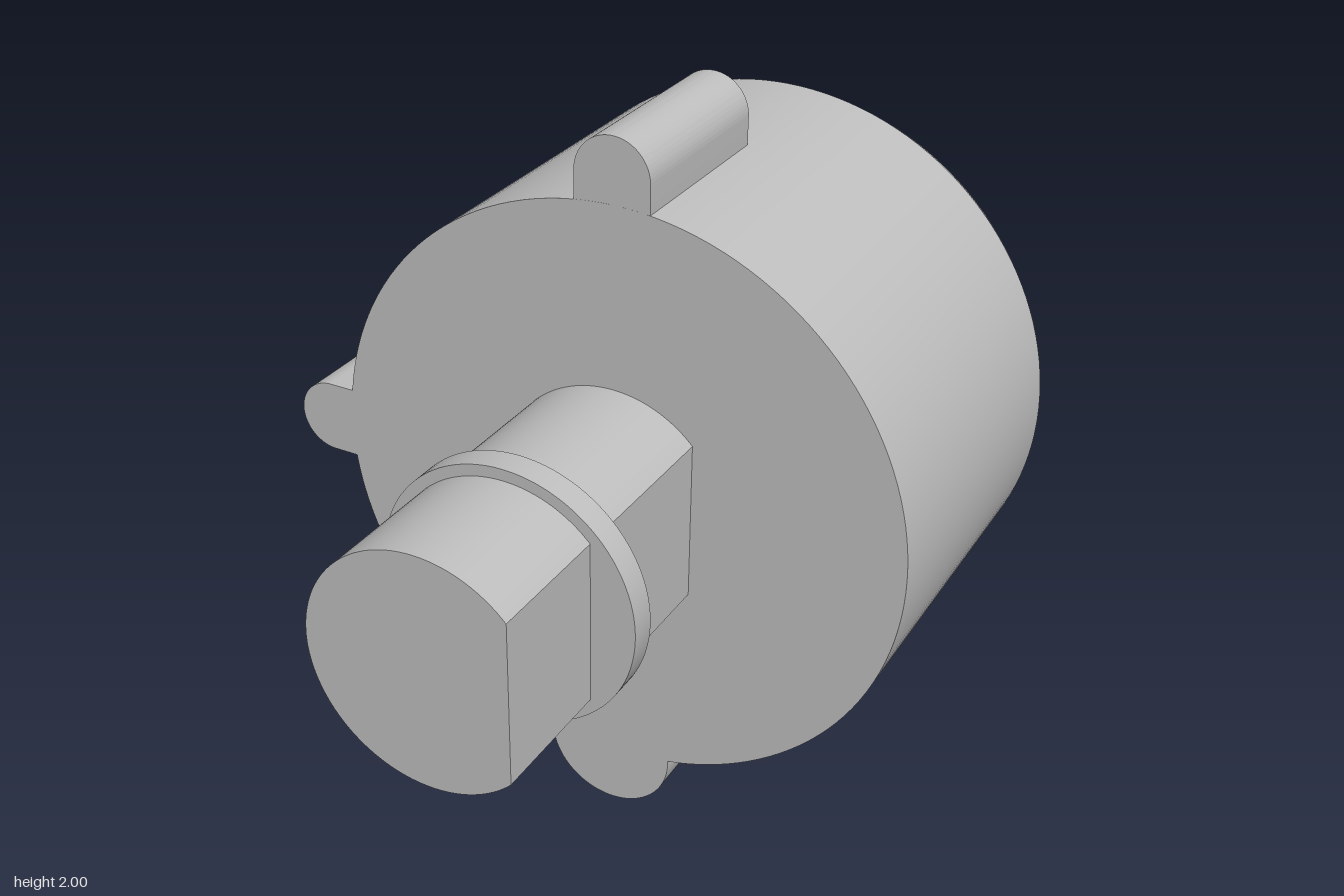
import * as THREE from 'three';
import { toCreasedNormals } from 'three/addons/utils/BufferGeometryUtils.js';

const CX = 0.085, CY = 1;       // main axis
const R = 0.825;                // housing radius
const SIDE_R = 0.103, FOOT_R = 0.185, TOP_R = 0.105;
const FRONT = 0.09;             // z of the housing's front face

// Housing outline with side and bottom lobes, shrunk inward by d
function housingShape(d) {
  const r = R - d, side = SIDE_R - d, foot = FOOT_R - d;
  const a = Math.asin(side / r), b = Math.asin(foot / r);
  const s = new THREE.Shape();
  s.absarc(0, 0, r, -Math.PI / 2 + b, Math.PI - a, false);
  s.absarc(-0.892, 0, side, Math.PI / 2, Math.PI * 1.5, false);
  s.absarc(0, 0, r, Math.PI + a, Math.PI * 1.5 - b, false);
  s.absarc(0, -0.815, foot, Math.PI, Math.PI * 2, false);
  s.closePath();
  return s;
}

// Round-topped rib whose underside follows the housing
function ribShape() {
  const a = Math.asin(TOP_R / R);
  const s = new THREE.Shape();
  s.absarc(0, 0.895, TOP_R, 0, Math.PI, false);
  s.absarc(0, 0, R, Math.PI / 2 + a, Math.PI / 2 - a, true);
  s.closePath();
  return s;
}

// Round shaft section with one flat on the left
function shaftShape() {
  const r = 0.324, a = Math.acos(0.234 / r);
  const s = new THREE.Shape();
  s.absarc(0, 0, r, a, Math.PI * 2 - a, false);
  s.closePath();
  return s;
}

function collarShape() {
  return new THREE.Shape().absarc(0, 0, 0.355, 0, Math.PI * 2, false);
}

export function createModel() {
  const group = new THREE.Group();
  const grey = new THREE.MeshStandardMaterial({ color: 0xbfbfbf });
  grey.name = 'plain grey';

  const add = (name, shape, z0, z1) => {
    const geo = new THREE.ExtrudeGeometry(shape, {
      depth: z1 - z0, bevelEnabled: false, curveSegments: 48,
    });
    const mesh = new THREE.Mesh(toCreasedNormals(geo, 0.4), grey);
    mesh.name = name;
    mesh.position.set(CX, CY, z0);
    group.add(mesh);
  };

  // Housing and its two stepped back rims
  add('housing', housingShape(0), -0.9, FRONT);
  add('backStepOuter', housingShape(0.017), -0.935, -0.9);
  add('backStepInner', housingShape(0.035), -0.97, -0.935);
  add('topRib', ribShape(), -0.44, FRONT);

  // Flatted shaft with a round collar
  add('shaft', shaftShape(), FRONT, 0.97);
  add('collar', collarShape(), 0.53, 0.605);

  return group;
}
